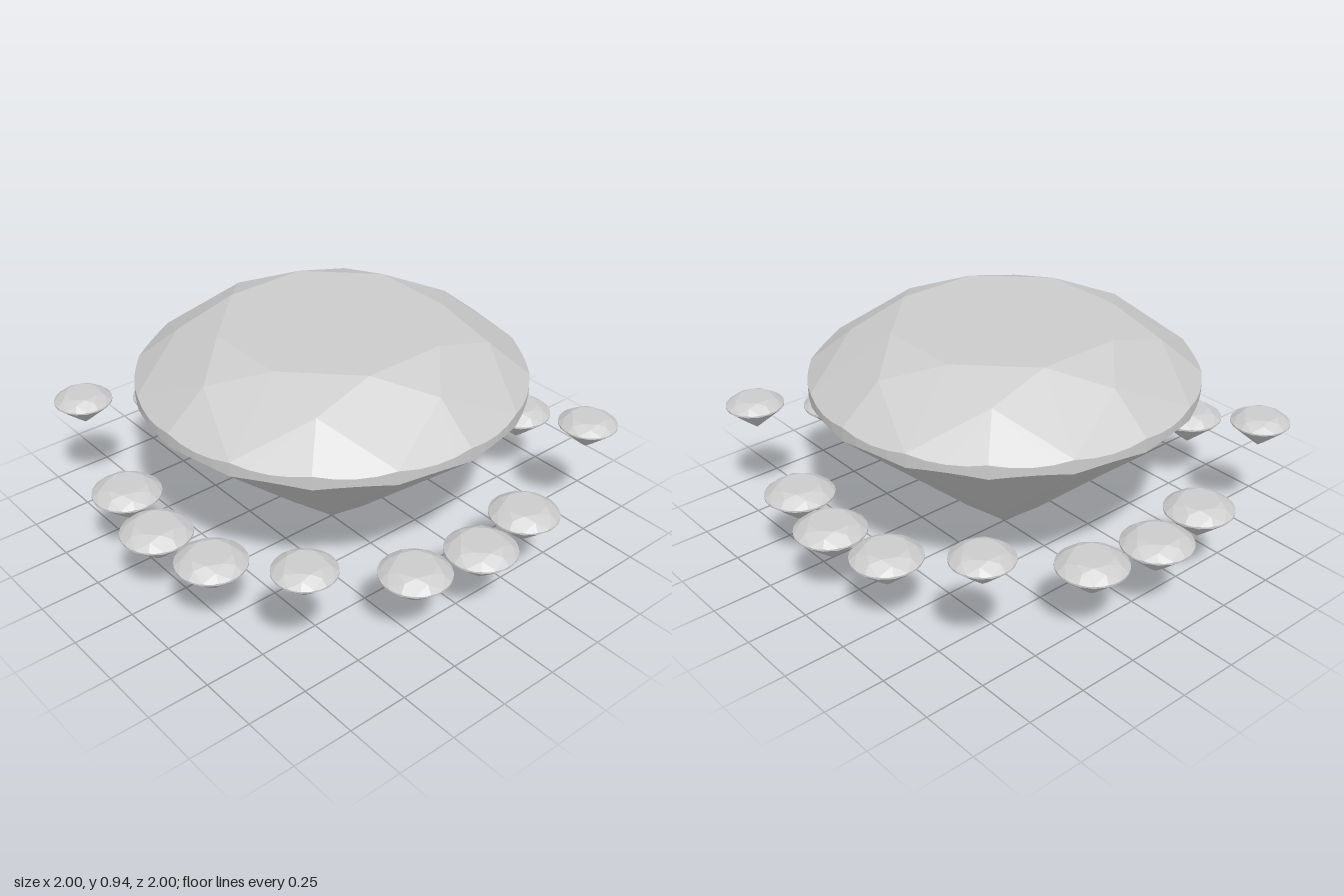
import * as THREE from 'three';

const STEP = Math.PI / 8;   // one girdle facet
const ARC = 4;              // girdle segments per facet
const GIRDLE_R = 0.777;

const polar = (r, a, y) => new THREE.Vector3(r * Math.cos(a), y, r * Math.sin(a));

// Flat facets from convex polygons, turned to face away from the stone's middle
function facetGeometry(polygons) {
  const middle = new THREE.Vector3(0, 0.6, 0);
  const points = [];
  for (const poly of polygons) {
    for (let i = 1; i < poly.length - 1; i++) {
      const [a, b, c] = [poly[0], poly[i], poly[i + 1]];
      const normal = b.clone().sub(a).cross(c.clone().sub(a));
      const outward = normal.dot(a.clone().sub(middle)) > 0;
      points.push(...(outward ? [a, b, c] : [a, c, b]));
    }
  }
  const geometry = new THREE.BufferGeometry().setFromPoints(points);
  geometry.computeVertexNormals();
  return geometry;
}

// Round brilliant cut: table, stars, kites, girdle facets, pavilion
function brilliantParts() {
  const tableR = 0.455, tableY = 0.94, starR = 0.61, starY = 0.87;
  const topY = 0.735, bottomY = 0.677, jointR = 0.2;
  const jointY = jointR * Math.cos(STEP) * bottomY / GIRDLE_R;
  const half = Math.cos(STEP / 2);
  const crownSlope = (starY - topY) / ((GIRDLE_R - starR) * half);
  const pavilionSlope = (bottomY - jointY) / ((GIRDLE_R - jointR) * half);

  // Scalloped girdle edges where the flat facets cut the round rim
  const rim = (facet, edgeY, slope) => Array.from({ length: ARC + 1 }, (_, i) => {
    const offset = (i / ARC - 0.5) * STEP;
    const y = edgeY + slope * GIRDLE_R * (Math.cos(offset) - half);
    return polar(GIRDLE_R, (facet + 0.5) * STEP + offset, y);
  });

  const crown = [], girdle = [], pavilion = [], table = [];
  const culet = new THREE.Vector3(0, 0, 0);
  for (let k = 0; k < 8; k++) {
    const a = k * 2 * STEP;
    const star = polar(starR, a, starY), nextStar = polar(starR, a + 2 * STEP, starY);
    const corner = polar(tableR, a + STEP, tableY);
    const joint = polar(jointR, a, jointY), nextJoint = polar(jointR, a + 2 * STEP, jointY);
    table.push(corner);
    crown.push([polar(tableR, a - STEP, tableY), star, corner]);
    crown.push([corner, star, polar(GIRDLE_R, a + STEP, topY), nextStar]);
    pavilion.push([culet, joint, polar(GIRDLE_R, a + STEP, bottomY), nextJoint]);
    for (const facet of [2 * k - 1, 2 * k]) {
      const top = rim(facet, topY, -crownSlope);
      const bottom = rim(facet, bottomY, pavilionSlope);
      crown.push([star, ...top]);
      pavilion.push([joint, ...bottom]);
      for (let i = 0; i < ARC; i++) girdle.push([top[i], top[i + 1], bottom[i + 1], bottom[i]]);
    }
  }
  crown.push(table);
  return {
    crown: facetGeometry(crown),
    girdle: facetGeometry(girdle),
    pavilion: facetGeometry(pavilion),
  };
}

export function createModel() {
  const model = new THREE.Group();
  model.name = 'gemCluster';
  const crystal = new THREE.MeshStandardMaterial({ color: 0xcccccc });
  crystal.name = 'pale grey crystal';
  crystal.flatShading = true;
  const parts = brilliantParts();

  function addGem(name, radius, x, y, z) {
    const gem = new THREE.Group();
    gem.name = name;
    for (const [part, geometry] of Object.entries(parts)) {
      const mesh = new THREE.Mesh(geometry, crystal);
      mesh.name = part;
      gem.add(mesh);
    }
    gem.scale.setScalar(radius / GIRDLE_R);
    gem.position.set(x, y, z);
    gem.rotation.y = Math.atan2(x, z);
    model.add(gem);
  }

  addGem('mainGem', GIRDLE_R, 0, 0, 0);

  // Four sides: a trio of small gems each, plus one higher gem at the corner
  for (let side = 0; side < 4; side++) {
    const c = Math.round(Math.cos(side * Math.PI / 2));
    const s = Math.round(Math.sin(side * Math.PI / 2));
    const place = (name, r, u, y, v) => addGem(name, r, u * c + v * s, y, v * c - u * s);
    place('sideGem', 0.14, 0, 0.203, 0.86);
    place('sideGem', 0.138, 0.285, 0.21, 0.81);
    place('sideGem', 0.138, -0.285, 0.21, 0.81);
    place('cornerGem', 0.118, 0.725, 0.415, 0.725);
  }
  return model;
}
